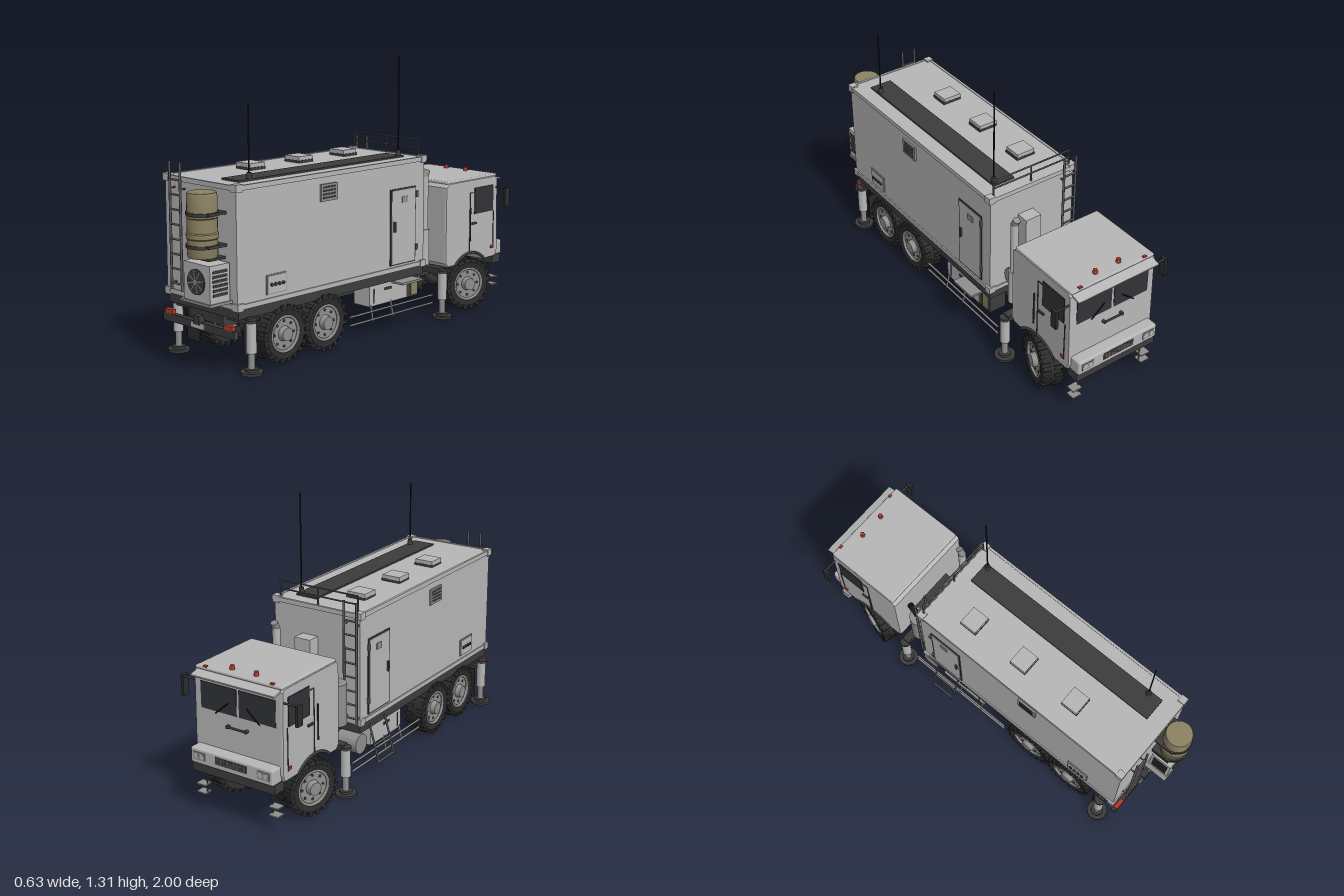
import * as THREE from 'three';
import { RoundedBoxGeometry } from 'three/addons/geometries/RoundedBoxGeometry.js';
import { toCreasedNormals } from 'three/addons/utils/BufferGeometryUtils.js';

const mat = (name, color) => Object.assign(new THREE.MeshStandardMaterial({ color }), { name });
const M = {
  body: mat('body grey', 0xb6b6b6), mid: mat('mid grey', 0x8e8e8c), dark: mat('chassis dark', 0x3c3c3c),
  tyre: mat('tyre black', 0x2c2c2c), glass: mat('glass', 0x303236), tan: mat('barrel tan', 0x8c8262),
  red: mat('lamp red', 0xb23a2c), steel: mat('steel', 0x5c5c5c), black: mat('aerial black', 0x181818),
};
const SIDES = [-1, 1];

export function createModel() {
  const root = new THREE.Group();
  root.name = 'shelterTruck';
  const add = (name, geo, m, p = [0, 0, 0], parent = root) => {
    const o = new THREE.Mesh(geo, m);
    o.name = name;
    o.position.set(...p);
    parent.add(o);
    return o;
  };
  const box = (name, m, size, p, parent) => add(name, new THREE.BoxGeometry(...size), m, p, parent);
  // box from min/max ranges in x, y and z
  const span = (name, m, x, y, z, parent) => box(name, m, [x[1] - x[0], y[1] - y[0], z[1] - z[0]],
    [(x[0] + x[1]) / 2, (y[0] + y[1]) / 2, (z[0] + z[1]) / 2], parent);
  const cyl = (name, m, r, h, p, axis = 'y', parent = root, r2 = r, seg = 24) => {
    const g = new THREE.CylinderGeometry(r2, r, h, seg);
    if (axis === 'x') g.rotateZ(-Math.PI / 2);
    if (axis === 'z') g.rotateX(Math.PI / 2);
    return add(name, g, m, p, parent);
  };
  const rod = (name, m, r, a, b, parent = root) => {
    const A = new THREE.Vector3(...a), d = new THREE.Vector3(...b).sub(A);
    const o = add(name, new THREE.CylinderGeometry(r, r, d.length(), 8), m, A.clone().addScaledVector(d, 0.5).toArray(), parent);
    o.quaternion.setFromUnitVectors(new THREE.Vector3(0, 1, 0), d.normalize());
    return o;
  };
  const ladder = (name, x0, x1, y0, y1, z, wallZ, n, topRung) => {
    const g = new THREE.Group();
    g.name = name;
    root.add(g);
    for (const x of [x0, x1]) {
      rod('ladderRail', M.steel, 0.006, [x, y0, z], [x, y1, z], g);
      for (const y of [y0 + 0.03, 0.78]) rod('ladderBracket', M.steel, 0.004, [x, y, z], [x, y, wallZ], g);
    }
    for (let i = 0; i < n; i++) {
      const y = y0 + 0.03 + (topRung - y0 - 0.03) * i / (n - 1);
      rod('rung', M.steel, 0.005, [x0, y, z], [x1, y, z], g);
    }
  };

  // Shelter body with edge trims and corner castings
  span('shelter', M.body, [-0.236, 0.236], [0.3, 0.828], [-0.352, 0.856]);
  for (const y of [0.305, 0.82]) for (const s of SIDES) {
    box('shelterEdge', M.body, [0.012, 0.022, 1.216], [s * 0.236, y, 0.252]);
    box('shelterEndEdge', M.body, [0.48, 0.022, 0.012], [0, y, s > 0 ? 0.856 : -0.352]);
    for (const z of [0.845, -0.341]) box('cornerCasting', M.body, [0.036, 0.034, 0.036], [s * 0.228, y, z]);
  }

  // Shelter side doors, louvres and socket panels
  for (const s of SIDES) {
    const side = (name, m, y, z, x, t = 0.006) => span(name, m, [s * x - t / 2, s * x + t / 2], y, z);
    side('doorSeal', M.dark, [0.325, 0.695], [-0.288, -0.108], 0.2375);
    side('shelterDoor', M.body, [0.332, 0.688], [-0.281, -0.115], 0.24);
    side('doorHandle', M.dark, [0.49, 0.54], [-0.135, -0.125], 0.247, 0.01);
    side('doorVent', M.mid, [0.625, 0.655], [-0.225, -0.185], 0.2435);
    for (const y of [0.38, 0.64]) side('doorHinge', M.steel, [y, y + 0.03], [-0.296, -0.283], 0.244, 0.01);
    side('louvreFrame', M.mid, [0.7, 0.778], [0.255, 0.36], 0.24, 0.01);
    for (let i = 0; i < 4; i++) side('louvreSlot', M.dark, [0.711 + i * 0.016, 0.72 + i * 0.016], [0.268, 0.347], 0.244);
    side('socketSeal', M.mid, [0.332, 0.42], [0.57, 0.69], 0.237);
    side('socketPanel', M.body, [0.337, 0.415], [0.575, 0.685], 0.24);
    for (let i = 0; i < 4; i++) cyl('socket', M.dark, 0.008, 0.012, [s * 0.243, 0.375, 0.595 + i * 0.023], 'x', root, 0.008, 10);
  }

  // Roof walkway, hatches, front guard rail and aerials
  span('walkway', M.dark, [0.05, 0.165], [0.826, 0.836], [-0.28, 0.775]);
  for (const z of [-0.13, 0.17, 0.475]) {
    box('hatchBase', M.dark, [0.1, 0.014, 0.09], [-0.095, 0.833, z]);
    box('roofHatch', M.body, [0.096, 0.02, 0.088], [-0.097, 0.848, z]);
  }
  for (const y of [0.87, 0.91]) rod('guardRail', M.steel, 0.004, [-0.217, y, -0.34], [0.21, y, -0.34]);
  for (const x of [-0.217, 0, 0.21]) rod('guardPost', M.steel, 0.004, [x, 0.82, -0.34], [x, 0.91, -0.34]);
  for (const [z, top] of [[-0.26, 1.31], [0.705, 1.16]]) {
    cyl('aerialBase', M.dark, 0.014, 0.03, [0.15, 0.848, z], 'y', root, 0.011, 12);
    rod('aerial', M.black, 0.0035, [0.15, 0.85, z], [0.15, top, z]);
  }
  ladder('rearLadder', -0.168, -0.097, 0.325, 0.9, 0.885, 0.856, 8, 0.82);
  ladder('frontLadder', -0.233, -0.165, 0.3, 0.89, -0.375, -0.352, 8, 0.8);

  // Rear barrel with ribs and clamp plates
  const rings = [[0, 0.52], [0.062, 0.52], [0.066, 0.53], [0.066, 0.6], [0.07, 0.605], [0.07, 0.625], [0.066, 0.63],
    [0.066, 0.69], [0.07, 0.695], [0.066, 0.7], [0.066, 0.785], [0.062, 0.8], [0, 0.8]].map(p => new THREE.Vector2(...p));
  add('barrel', toCreasedNormals(new THREE.LatheGeometry(rings, 28), 0.6), M.tan, [0.1, 0, 0.928]);
  for (const y of [0.57, 0.71]) {
    span('barrelPlate', M.dark, [0.026, 0.174], [y - 0.006, y + 0.006], [0.856, 0.955]);
    cyl('barrelStrap', M.dark, 0.0715, 0.014, [0.1, y, 0.928], 'y', root, 0.0715, 28);
  }
  span('barrelShelf', M.dark, [0.035, 0.165], [0.51, 0.52], [0.856, 0.95]);

  // Air conditioner on its shelf
  span('airConditioner', M.body, [0.028, 0.2], [0.335, 0.5], [0.866, 0.975]);
  span('airConditionerShelf', M.mid, [0.005, 0.205], [0.322, 0.335], [0.856, 0.98]);
  cyl('fanOpening', M.dark, 0.056, 0.006, [0.112, 0.42, 0.977], 'z', root, 0.056, 32);
  for (let i = 0; i < 8; i++) {
    const a = i * Math.PI / 4 + 0.2;
    box('fanBlade', M.mid, [0.04, 0.006, 0.003], [0.112 + Math.cos(a) * 0.033, 0.42 + Math.sin(a) * 0.033, 0.981]).rotation.z = a;
  }
  cyl('fanHub', M.mid, 0.012, 0.006, [0.112, 0.42, 0.98], 'z');
  for (const x of [0.027, 0.201]) for (let i = 0; i < 6; i++)
    box('coolerSlot', M.dark, [0.005, 0.012, 0.08], [x, 0.37 + i * 0.02, 0.92]);

  // Chassis
  span('subframe', M.dark, [-0.235, 0.235], [0.25, 0.298], [-0.35, 0.85]);
  for (const s of SIDES) box('frameRail', M.dark, [0.045, 0.08, 1.75], [s * 0.095, 0.235, -0.04]);
  for (const z of [0.82, 0.45, 0.1, -0.2, -0.5, -0.88]) box('crossMember', M.dark, [0.19, 0.06, 0.05], [0, 0.235, z]);
  for (const z of [0.58, 0.325, -0.715]) {
    cyl('axle', M.dark, 0.022, 0.36, [0, 0.138, z], 'x');
    add('differential', new THREE.SphereGeometry(0.048, 16, 12), M.dark, [0, 0.14, z]);
    for (const s of SIDES) box('leafSpring', M.dark, [0.03, 0.03, 0.22], [s * 0.1, 0.185, z]);
  }
  rod('driveShaft', M.dark, 0.014, [0, 0.15, 0.58], [0, 0.2, -0.4]);
  span('rearBumper', M.dark, [-0.24, 0.24], [0.17, 0.206], [0.855, 0.88]);
  span('plate', M.body, [-0.046, 0.046], [0.175, 0.201], [0.88, 0.885]);
  box('towHitch', M.dark, [0.04, 0.04, 0.03], [0, 0.215, 0.875]);
  for (const s of SIDES) {
    box('tailLamp', M.red, [0.055, 0.02, 0.02], [s * 0.2, 0.216, 0.872]);
    box('mudFlap', M.tyre, [0.085, 0.15, 0.006], [s * 0.193, 0.13, 0.745]);
    for (const y of [0.09, 0.13]) rod('sideGuard', M.mid, 0.005, [s * 0.24, y, 0.17], [s * 0.24, y, -0.42]);
    for (const z of [0.01, -0.13]) rod('guardBracket', M.mid, 0.005, [s * 0.24, 0.08, z], [s * 0.2, 0.25, z]);
  }

  // Wheels: chunky tyre, tread lugs, dished rim, bolts
  const prof = [[0.08, -0.042], [0.112, -0.05], [0.126, -0.042], [0.128, 0], [0.126, 0.042], [0.112, 0.05], [0.083, 0.045]]
    .map(p => new THREE.Vector2(...p));
  const tyreGeo = toCreasedNormals(new THREE.LatheGeometry(prof, 36).rotateZ(-Math.PI / 2), 0.5);
  const lugGeo = new THREE.BoxGeometry(0.042, 0.02, 0.018);
  const wheel = (s, x, z, steer) => {
    const w = new THREE.Group();
    w.name = 'wheel';
    w.position.set(s * x, 0.137, z);
    w.rotation.y = (s < 0 ? Math.PI : 0) + steer;
    root.add(w);
    add('tyre', tyreGeo, M.tyre, [0, 0, 0], w);
    for (let i = 0; i < 40; i++) {
      const a = i * Math.PI / 20;
      add('treadLug', lugGeo, M.tyre, [i % 2 ? 0.029 : -0.029, Math.cos(a) * 0.123, Math.sin(a) * 0.123], w).rotation.x = a;
    }
    cyl('rim', M.mid, 0.084, 0.07, [0, 0, 0], 'x', w, 0.084, 32);
    add('rimLip', new THREE.TorusGeometry(0.08, 0.007, 8, 32).rotateY(Math.PI / 2), M.mid, [0.042, 0, 0], w);
    cyl('hub', M.mid, 0.036, 0.03, [0.045, 0, 0], 'x', w, 0.03);
    for (let i = 0; i < 8; i++) {
      const a = i * Math.PI / 4;
      cyl('rimHole', M.dark, 0.007, 0.004, [0.036, Math.cos(a) * 0.058, Math.sin(a) * 0.058], 'x', w, 0.007, 8);
    }
  };
  for (const s of SIDES) {
    for (const z of [0.58, 0.325]) wheel(s, 0.195, z, 0);
    wheel(s, 0.2, -0.715, -0.3);
    // Levelling jacks
    for (const z of [0.79, -0.487]) {
      cyl('jackFoot', M.dark, 0.05, 0.012, [s * 0.248, 0.01, z]);
      cyl('jackFootHub', M.dark, 0.03, 0.012, [s * 0.248, 0.022, z]);
      cyl('jackRam', M.mid, 0.015, 0.09, [s * 0.248, 0.065, z]);
      cyl('jackTube', M.body, 0.023, 0.135, [s * 0.248, 0.165, z]);
      cyl('jackCap', M.dark, 0.026, 0.014, [s * 0.248, 0.238, z]);
      box('jackArm', M.dark, [0.16, 0.03, 0.04], [s * 0.165, 0.24, z]);
    }
  }

  // Underfloor lockers, tanks and door steps
  for (const s of SIDES) {
    span('locker', M.body, [s * 0.175 - 0.05, s * 0.175 + 0.05], [0.148, 0.25], [-0.245, 0.02]);
    box('lockerSeam', M.dark, [0.004, 0.07, 0.005], [s * 0.226, 0.195, -0.01]);
    box('lockerLatch', M.dark, [0.006, 0.012, 0.05], [s * 0.226, 0.218, -0.11]);
  }
  span('canRack', M.dark, [0.13, 0.222], [0.145, 0.245], [-0.33, -0.247]);
  span('fuelCan', M.tan, [0.15, 0.226], [0.155, 0.235], [-0.32, -0.275]);
  span('doorPlatform', M.mid, [0.22, 0.295], [0.238, 0.248], [-0.28, -0.135]);
  cyl('airTank', M.mid, 0.048, 0.16, [-0.15, 0.19, -0.33], 'x');
  for (const z of [-0.27, -0.14]) rod('stepRail', M.steel, 0.005, [-0.29, 0.08, z], [-0.235, 0.27, z]);
  for (const [x, y] of [[-0.287, 0.09], [-0.265, 0.17]]) rod('doorStep', M.steel, 0.005, [x, y, -0.27], [x, y, -0.14]);

  // Equipment between cab and shelter
  span('engine', M.dark, [-0.12, 0.12], [0.22, 0.42], [-0.54, -0.45]);
  span('gearbox', M.dark, [-0.02, 0.145], [0.25, 0.38], [-0.46, -0.37]);
  span('junctionBox', M.body, [-0.005, 0.08], [0.4, 0.68], [-0.415, -0.35]);
  cyl('muffler', M.mid, 0.05, 0.2, [-0.165, 0.42, -0.44]);
  rod('exhaustTip', M.black, 0.016, [-0.165, 0.51, -0.44], [-0.165, 0.585, -0.495]);
  cyl('intakeBase', M.body, 0.026, 0.18, [0.165, 0.36, -0.44]);
  cyl('intakePipe', M.body, 0.019, 0.27, [0.165, 0.58, -0.44]);
  rod('intakeHead', M.mid, 0.018, [0.165, 0.705, -0.436], [0.165, 0.745, -0.455]);
  cyl('airFilter', M.mid, 0.055, 0.07, [0.12, 0.375, -0.41], 'x');

  // Cab shell: side profile (forward, up) with wheel arch, extruded across
  const c = new THREE.Shape();
  c.moveTo(0.545, 0.25);
  c.lineTo(0.6, 0.25);
  c.absarc(0.715, 0.13, 0.166, Math.PI - 0.8, 0.8, true);
  c.lineTo(0.925, 0.25);
  c.lineTo(0.938, 0.28);
  c.lineTo(0.93, 0.655);
  c.lineTo(0.915, 0.668);
  c.lineTo(0.545, 0.668);
  c.lineTo(0.526, 0.65);
  c.lineTo(0.526, 0.27);
  const cabGeo = new THREE.ExtrudeGeometry(c, { depth: 0.45, bevelThickness: 0.012, bevelSize: 0.004, bevelSegments: 2, curveSegments: 16 });
  add('cab', cabGeo.translate(0, 0, -0.225).rotateY(Math.PI / 2), M.body);
  add('cabRoof', new RoundedBoxGeometry(0.468, 0.016, 0.395, 2, 0.007), M.body, [0, 0.674, -0.735]);
  box('sunVisor', M.body, [0.45, 0.008, 0.05], [0, 0.655, -0.95]).rotation.x = -0.25;
  span('cabFloor', M.dark, [-0.12, 0.12], [0.2, 0.29], [-0.92, -0.54]);

  // Windscreen, wipers and cab front
  for (const s of SIDES) {
    box('windscreen', M.glass, [0.195, 0.125, 0.006], [s * 0.104, 0.555, -0.9355]);
    rod('wiper', M.black, 0.003, [s * 0.12, 0.485, -0.942], [s * 0.05, 0.545, -0.942]);
    box('frontMarker', M.red, [0.018, 0.01, 0.012], [s * 0.18, 0.683, -0.925]);
    cyl('beacon', M.red, 0.012, 0.022, [s * 0.065, 0.69, -0.885], 'y', root, 0.01, 14);
    box('headlampRecess', M.mid, [0.065, 0.036, 0.006], [s * 0.175, 0.288, -0.997]);
    for (const d of [-0.015, 0.015]) cyl('headlamp', M.body, 0.012, 0.004, [s * 0.175 + d, 0.288, -0.999], 'z', root, 0.012, 14);
    for (const y of [0.09, 0.13]) box('frontStep', M.mid, [0.05, 0.006, 0.045], [s * 0.2, y, -0.945]);
    for (const y of [0.09, 0.13]) rod('frontStepHanger', M.steel, 0.003, [s * 0.18, y, -0.945], [s * 0.18, 0.22, -0.945]);
  }
  rod('grabBar', M.dark, 0.005, [-0.05, 0.44, -0.952], [0.05, 0.44, -0.952]);
  for (const x of [-0.05, 0.05]) cyl('grabBarMount', M.dark, 0.008, 0.02, [x, 0.44, -0.945], 'z', root, 0.008, 10);
  add('frontBumper', new RoundedBoxGeometry(0.45, 0.075, 0.068, 2, 0.01), M.body, [0, 0.285, -0.963]);
  span('lowerBumper', M.dark, [-0.225, 0.225], [0.205, 0.25], [-0.985, -0.92]);
  box('grille', M.dark, [0.17, 0.034, 0.005], [0, 0.29, -0.997]);
  for (let i = 0; i < 9; i++) box('grilleBar', M.steel, [0.005, 0.03, 0.003], [-0.072 + i * 0.018, 0.29, -0.9985]);

  // Cab sides: windows, door seams, handles, arches and mirrors
  for (const s of SIDES) {
    const side = (name, m, y, z, t = 0.006) => span(name, m, [s * 0.238 - t / 2, s * 0.238 + t / 2], y, z);
    side('sideWindow', M.glass, [0.492, 0.627], [-0.898, -0.747]);
    side('doorSeam', M.dark, [0.3, 0.605], [-0.714, -0.71], 0.004);
    side('doorTopSeam', M.dark, [0.602, 0.606], [-0.747, -0.71], 0.004);
    side('doorFrontSeam', M.dark, [0.29, 0.49], [-0.907, -0.903], 0.004);
    side('cabDoorHandle', M.dark, [0.44, 0.45], [-0.76, -0.725], 0.014);
    rod('cabGrabRail', M.dark, 0.004, [s * 0.25, 0.36, -0.7], [s * 0.25, 0.53, -0.7]);
    side('sideMarker', M.red, [0.295, 0.308], [-0.905, -0.885], 0.01);
    const arch = add('wheelArch', new THREE.TorusGeometry(0.166, 0.007, 8, 24, Math.PI * 0.5), M.dark, [s * 0.238, 0.13, -0.715]);
    arch.rotation.set(0, Math.PI / 2, Math.PI / 4, 'YXZ');
    rod('mirrorArm', M.dark, 0.005, [s * 0.23, 0.61, -0.925], [s * 0.31, 0.61, -0.925]);
    box('mirror', M.tyre, [0.014, 0.095, 0.036], [s * 0.308, 0.568, -0.918]);
  }
  return root;
}
